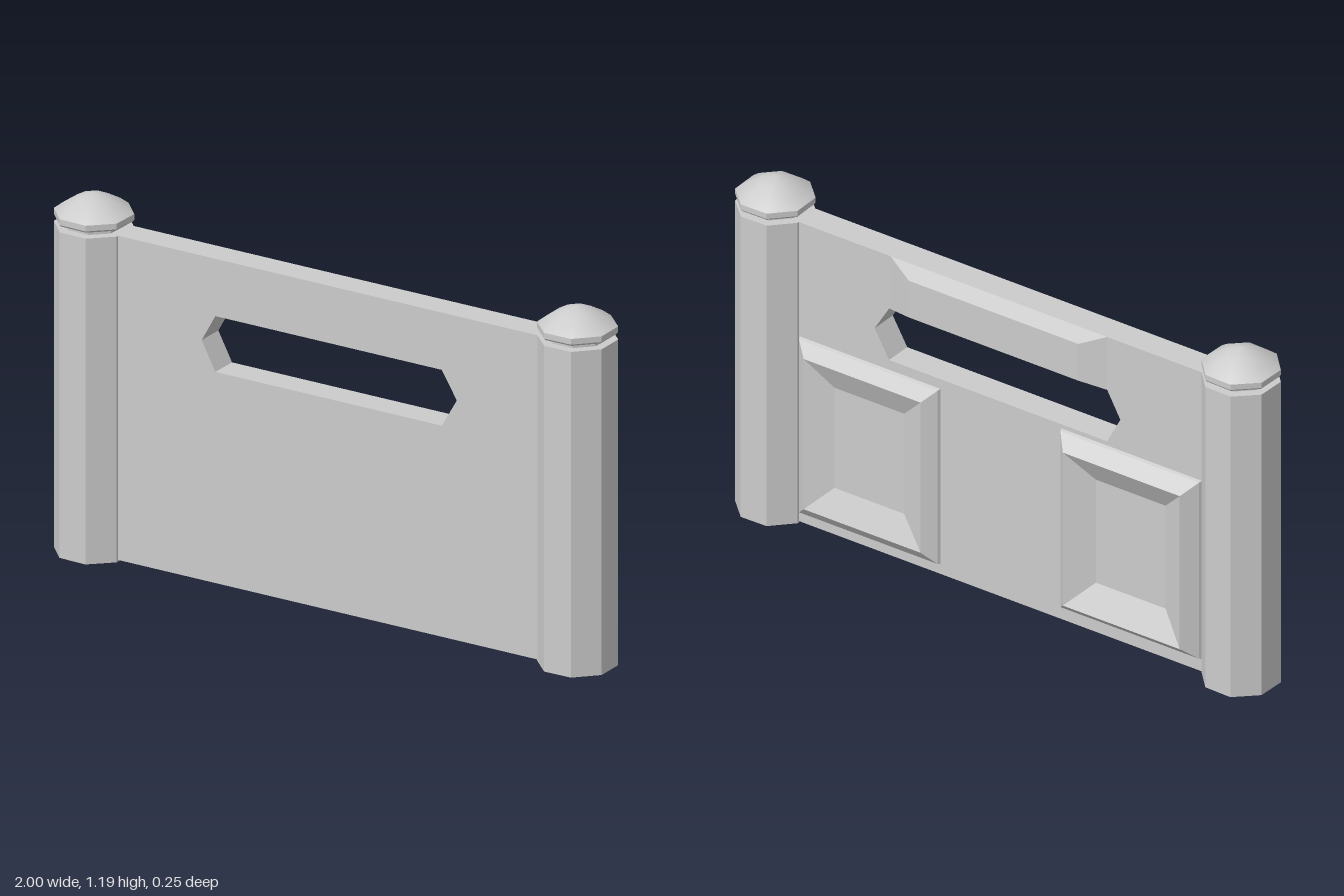
import * as THREE from 'three';
import { toCreasedNormals } from 'three/addons/utils/BufferGeometryUtils.js';

const material = new THREE.MeshStandardMaterial({ color: 0xcccccc });
const BACK = -0.05; // back face of the board

function add(parent, name, geometry) {
  const mesh = new THREE.Mesh(geometry, material);
  mesh.name = name;
  parent.add(mesh);
  return mesh;
}

// Octagonal turned part from [radius, height] pairs, bottom to top
function octagon(profile) {
  const points = profile.map(([r, y]) => new THREE.Vector2(r, y));
  return toCreasedNormals(new THREE.LatheGeometry(points, 8, Math.PI / 8), 0.6);
}

// Relief facing -z, skinned over rectangles [x0, x1, y0, y1, z] and closed by the last one
function relief(rings) {
  const corners = rings.map(([x0, x1, y0, y1, z]) =>
    [[x0, y0, z], [x0, y1, z], [x1, y1, z], [x1, y0, z]]);
  const positions = [];
  const quad = (a, b, c, d) => positions.push(...a, ...b, ...c, ...a, ...c, ...d);
  for (let i = 0; i + 1 < corners.length; i++) {
    for (let j = 0; j < 4; j++) {
      const k = (j + 1) % 4;
      quad(corners[i][j], corners[i][k], corners[i + 1][k], corners[i + 1][j]);
    }
  }
  quad(...corners[corners.length - 1]);
  const geometry = new THREE.BufferGeometry();
  geometry.setAttribute('position', new THREE.Float32BufferAttribute(positions, 3));
  geometry.computeVertexNormals();
  return geometry;
}

// Picture-frame panel: bevel up to a ridge, then slope down to a sunken floor
function framedPanel(x0, x1, y0, y1, ridgeZ) {
  const ring = (inset, z) => [x0 + inset, x1 - inset, y0 + inset, y1 - inset, z];
  return relief([ring(0, BACK), ring(0.004, BACK - 0.01), ring(0.045, ridgeZ), ring(0.135, BACK - 0.004)]);
}

export function createModel() {
  const model = new THREE.Group();
  model.name = 'headboard';

  // Board with a long six-sided hand hole
  const outline = new THREE.Shape([[-0.8, 0.005], [0.8, 0.005], [0.8, 1.08], [-0.8, 1.08]]
    .map(p => new THREE.Vector2(...p)));
  outline.holes.push(new THREE.Path([[-0.46, 0.8], [-0.41, 0.89], [0.42, 0.89],
    [0.475, 0.8], [0.42, 0.705], [-0.41, 0.705]].map(p => new THREE.Vector2(...p))));
  const board = new THREE.ExtrudeGeometry(outline, { depth: 0.095, bevelEnabled: false });
  board.translate(0, 0, BACK);
  add(model, 'board', board);

  // Posts with neck and domed cap
  for (const [side, name] of [[1, 'left'], [-1, 'right']]) {
    const post = new THREE.Group();
    post.name = name + 'Post';
    add(post, 'shaft', octagon([[0, 0], [0.127, 0], [0.127, 1.08], [0, 1.08]]));
    add(post, 'neck', octagon([[0.095, 1.08], [0.095, 1.1]]));
    add(post, 'cap', octagon([[0, 1.098], [0.122, 1.098], [0.127, 1.104], [0.127, 1.123],
      [0.095, 1.147], [0.05, 1.172], [0, 1.187]]));
    post.position.set(side * 0.882, 0, side > 0 ? -0.01 : 0.002);
    post.rotation.y = side > 0 ? 0.02 : -0.03;
    model.add(post);
  }

  // Framed panels low on the back
  add(model, 'leftPanel', framedPanel(0.225, 0.76, 0.04, 0.67, -0.092));
  add(model, 'rightPanel', framedPanel(-0.77, -0.235, 0.05, 0.69, -0.104));

  // Bevelled block above the hand hole
  add(model, 'gripBlock', relief([
    [-0.41, 0.415, 0.89, 1.08, BACK],
    [-0.32, 0.325, 0.905, 1.037, -0.078],
  ]));

  return model;
}
